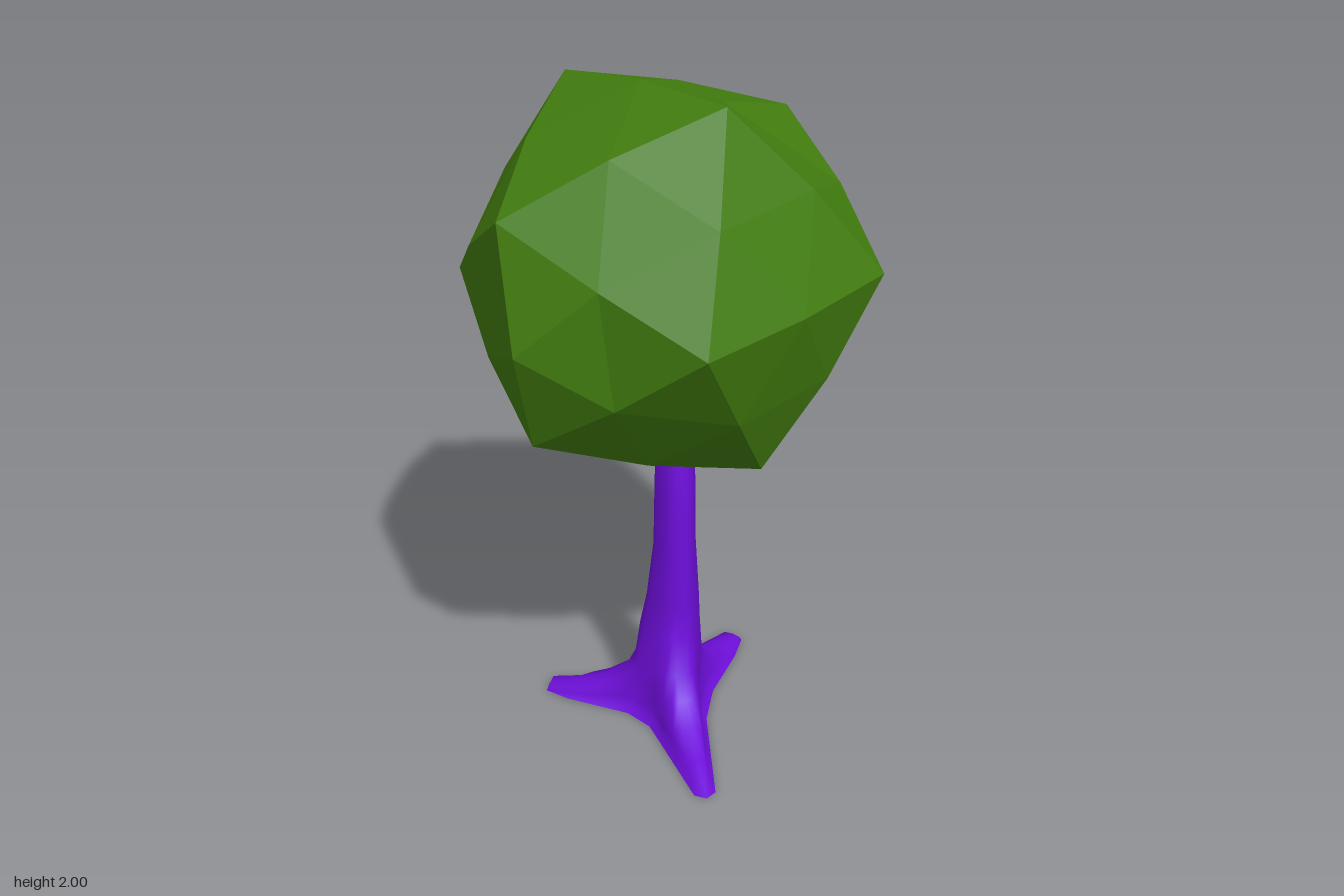
import * as THREE from 'three';

const rad = THREE.MathUtils.degToRad;

// Leafy crown: an icosahedron split once, slightly rounded, with a few corners pushed out of place
function createCrown() {
  const R = 0.61, ringR = 0.546, ringZ = 0.273;
  const corners = { F: new THREE.Vector3(0, 0, R), B: new THREE.Vector3(0, 0, -R) };
  for (let k = 0; k < 5; k++) {
    const a = rad(6.3 + 72 * k), b = rad(42.3 + 72 * k);
    corners['f' + k] = new THREE.Vector3(ringR * Math.cos(a), ringR * Math.sin(a), ringZ);
    corners['b' + k] = new THREE.Vector3(ringR * Math.cos(b), ringR * Math.sin(b), -ringZ);
  }
  const nudges = { b0f1: [-0.11, 0, 0], f2f3: [0, 0, 0.11], Bb4: [0, 0, -0.115] };
  const mid = (p, q) => {
    const m = corners[p].clone().add(corners[q]).multiplyScalar(0.5 * 1.04);
    const n = nudges[[p, q].sort().join('')];
    return n ? m.add(new THREE.Vector3(...n)) : m;
  };
  const points = [];
  const addFace = (p, q, r) => {
    const [P, Q, S] = [corners[p], corners[q], corners[r]];
    const pq = mid(p, q), qr = mid(q, r), rp = mid(r, p);
    points.push(P, pq, rp, pq, Q, qr, rp, qr, S, pq, qr, rp);
  };
  for (let k = 0; k < 5; k++) {
    const n = (k + 1) % 5;
    addFace('F', 'f' + k, 'f' + n);
    addFace('f' + k, 'b' + k, 'f' + n);
    addFace('b' + k, 'b' + n, 'f' + n);
    addFace('B', 'b' + n, 'b' + k);
  }
  const geometry = new THREE.BufferGeometry().setFromPoints(points);
  geometry.computeVertexNormals();
  const crown = new THREE.Mesh(geometry, new THREE.MeshStandardMaterial({ color: 0x427d0f, flatShading: true }));
  crown.name = 'crown';
  crown.position.y = 1.46;
  return crown;
}

// Trunk: stacked rings whose lower outlines stretch into three tapering roots
function createTrunk() {
  const roots = [
    { angle: -48, length: 0.41 },
    { angle: 87.6, length: 0.48 },
    { angle: 202, length: 0.395 },
  ];
  const angles = roots.flatMap((r) => [-38, -20, -10, -4, 0, 4, 10, 20, 38].map((o) => rad(r.angle + o)));
  // height, centre x, centre z, trunk radius, root reach (share of its length), root half width
  const rings = [
    [0, 0.02, 0, 0.09, 1, 0.11],
    [0.018, 0.02, 0, 0.09, 0.98, 0.095],
    [0.04, 0.02, 0, 0.09, 0.74, 0.09],
    [0.07, 0.02, 0, 0.09, 0.52, 0.085],
    [0.12, 0.02, 0, 0.09, 0.35, 0.08],
    [0.18, 0.02, -0.005, 0.092, 0.27, 0.08],
    [0.29, 0.025, -0.01, 0.095, 0, 0],
    [0.4, 0.03, 0.005, 0.082, 0, 0],
    [0.6, 0.03, 0.03, 0.065, 0, 0],
    [0.8, 0.03, 0.033, 0.062, 0, 0],
    [0.9, 0.03, 0.025, 0.058, 0, 0],
    [0.95, 0.03, 0.02, 0.055, 0, 0],
  ];
  const outline = (angle, [, , , radius, reach, width]) => {
    let r = radius;
    for (const root of roots) {
      const d = Math.abs(Math.atan2(Math.sin(angle - rad(root.angle)), Math.cos(angle - rad(root.angle))));
      if (d > Math.PI / 2) continue;
      r = Math.max(r, Math.min(root.length * reach, width / (Math.sin(d) + 0.17 * Math.cos(d))));
    }
    return r;
  };
  const point = (ring, a) => {
    const r = outline(a, ring);
    return new THREE.Vector3(ring[1] + r * Math.cos(a), ring[0], ring[2] + r * Math.sin(a));
  };
  const n = angles.length, points = [], index = [];
  rings.forEach((ring) => angles.forEach((a) => points.push(point(ring, a))));
  for (let i = 0; i < rings.length - 1; i++) {
    for (let j = 0; j < n; j++) {
      const a = i * n + j, b = i * n + ((j + 1) % n);
      index.push(a, a + n, b, b, a + n, b + n);
    }
  }
  // Flat ends with their own corners so the rims stay sharp
  [rings[0], rings[rings.length - 1]].forEach((ring, top) => {
    const c = points.length;
    points.push(new THREE.Vector3(ring[1], ring[0], ring[2]), ...angles.map((a) => point(ring, a)));
    for (let j = 0; j < n; j++) {
      const p = c + 1 + j, q = c + 1 + ((j + 1) % n);
      index.push(c, ...(top ? [q, p] : [p, q]));
    }
  });
  const geometry = new THREE.BufferGeometry().setFromPoints(points);
  geometry.setIndex(index);
  geometry.computeVertexNormals();
  const trunk = new THREE.Mesh(geometry, new THREE.MeshStandardMaterial({ color: 0x6f0fdc }));
  trunk.name = 'trunkWithRoots';
  return trunk;
}

export function createModel() {
  const tree = new THREE.Group();
  tree.name = 'tree';
  tree.add(createTrunk(), createCrown());
  return tree;
}
